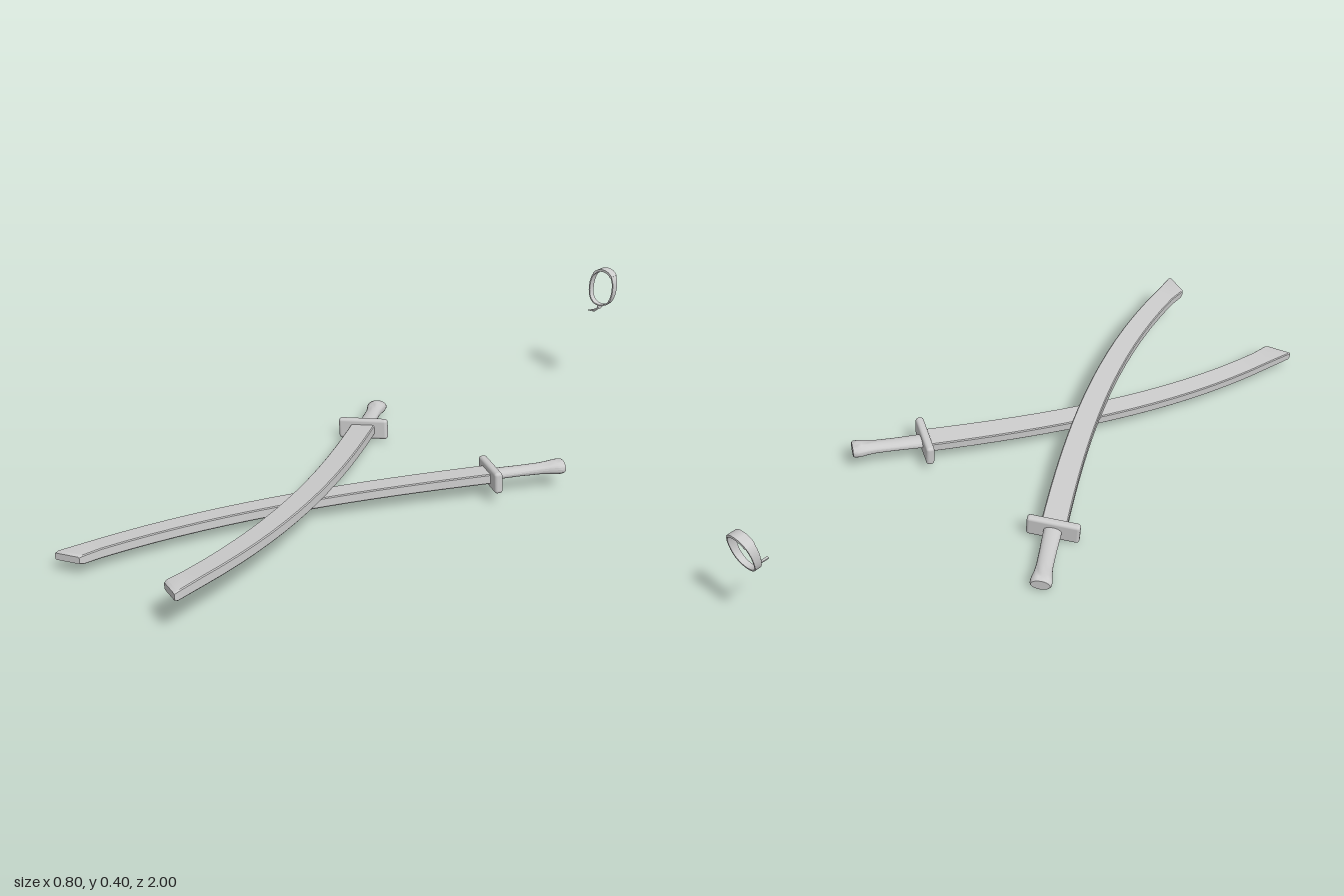
import * as THREE from 'three';
import { toCreasedNormals } from 'three/addons/utils/BufferGeometryUtils.js';
import { RoundedBoxGeometry } from 'three/addons/geometries/RoundedBoxGeometry.js';

const material = new THREE.MeshStandardMaterial({ color: 0xcccccc });

function mesh(name, geometry) {
  const m = new THREE.Mesh(geometry, material);
  m.name = name;
  return m;
}

// Skin a list of equal-sized cross-sections; ends are capped unless the loft is a closed loop
function loft(rings, crease, loop = false) {
  const n = rings[0].length;
  const count = rings.length;
  const index = [];
  for (let i = 0; i < (loop ? count : count - 1); i++) {
    for (let j = 0; j < n; j++) {
      const k = (j + 1) % n;
      const next = ((i + 1) % count) * n;
      index.push(i * n + j, i * n + k, next + j, i * n + k, next + k, next + j);
    }
  }
  if (!loop) {
    const last = (count - 1) * n;
    for (let j = 1; j < n - 1; j++) {
      index.push(0, j + 1, j, last, last + j, last + j + 1);
    }
  }
  const g = new THREE.BufferGeometry();
  g.setAttribute('position', new THREE.Float32BufferAttribute(rings.flat().flatMap((p) => p.toArray()), 3));
  g.setIndex(index);
  return toCreasedNormals(g, crease);
}

// Sword centre line: x runs from pommel to tip, y bows to the convex side, most strongly past the middle
const LENGTH = 1.4;
function bow(x) {
  const u = x / LENGTH;
  return 0.325 * u * (1 - u) * (0.7 + 0.6 * u);
}
const slope = (x) => (bow(x + 0.001) - bow(x - 0.001)) / 0.002;

// Place a flat section (side, thickness) across the centre line; slant pushes the convex side forward
function place(section, x, slant = 0) {
  const a = Math.atan(slope(x));
  return section.map(([s, t]) =>
    new THREE.Vector3(x - s * Math.sin(a) + s * slant, bow(x) + s * Math.cos(a), t));
}

function ellipse(w, t, n = 20) {
  return Array.from({ length: n }, (_, i) => {
    const a = (i / n) * Math.PI * 2;
    return [w * Math.cos(a), t * Math.sin(a)];
  });
}

// Thick blade section with slightly bevelled long edges
function bladeSection(w, t) {
  const b = w * 0.92;
  const e = t * 0.8;
  return [[w, -e], [w, e], [b, t], [-b, t], [-w, e], [-w, -e], [-b, -t], [b, -t]];
}

function createSword(name) {
  const sword = new THREE.Group();
  sword.name = name;

  // Blade with a slanted tip
  const blade = [];
  const start = 0.2;
  const shoulder = 1.33;
  for (let i = 0; i <= 16; i++) {
    const f = i / 16;
    blade.push(place(bladeSection(0.037 - 0.005 * f, 0.0145 - 0.0005 * f), start + (shoulder - start) * f));
  }
  blade.push(place(bladeSection(0.031, 0.013), 1.4, 0.62));
  blade.push(place(bladeSection(0.029, 0.0095), 1.41, 0.62));
  sword.add(mesh('blade', loft(blade, 0.6)));

  // Guard plate
  const guard = mesh('guard', new RoundedBoxGeometry(0.024, 0.152, 0.062, 3, 0.009));
  guard.position.set(0.203, bow(0.203), 0);
  guard.rotation.z = 0.1;
  sword.add(guard);

  // Oval grip flaring into a flat-ended pommel: position, half width, half thickness
  const grip = [
    [-0.010, 0.027, 0.016], [-0.006, 0.030, 0.019], [0.004, 0.0305, 0.0205], [0.016, 0.029, 0.0205],
    [0.035, 0.0255, 0.018], [0.06, 0.0235, 0.0155], [0.12, 0.024, 0.014], [0.2, 0.026, 0.0145],
  ].map(([x, w, t]) => place(ellipse(w, t), x));
  sword.add(mesh('grip', loft(grip, 0.75)));
  return sword;
}

// Stand a sword in the model by its pommel position, long direction and convex side
function poseSword(sword, pommel, along, side) {
  const ex = new THREE.Vector3(...along).normalize();
  const ez = ex.clone().cross(new THREE.Vector3(...side)).normalize();
  const ey = ez.clone().cross(ex);
  sword.quaternion.setFromRotationMatrix(new THREE.Matrix4().makeBasis(ex, ey, ez));
  sword.position.set(...pommel);
  return sword;
}

// One cross-section of the head loop, leaning forward towards its knot
function bandRing(a, inner, outer, grow = 0) {
  const s = Math.sin(a);
  const c = Math.cos(a) * (1 + 0.2 * s * s);
  const half = 0.0115 + 0.0025 * s + grow;
  const z = -0.974 - 0.01 * s;
  const at = (r, dz) =>
    new THREE.Vector3(0.02 + (0.044 + r) * c, 0.345 + (0.057 + r) * s, z + dz);
  return [at(inner, -half), at(inner, half), at(outer, half), at(outer, -half)];
}

function createHeadband() {
  const headband = new THREE.Group();
  headband.name = 'headband';

  // Cloth loop
  const loop = Array.from({ length: 24 }, (_, i) => bandRing((i / 24) * Math.PI * 2, -0.002, 0.002));
  headband.add(mesh('band', loft(loop, 0.5, true)));

  // Thicker brow plate on top
  const plate = Array.from({ length: 9 }, (_, i) =>
    bandRing(THREE.MathUtils.degToRad(46 + 11 * i), -0.004, 0.0035, 0.001));
  headband.add(mesh('browPlate', loft(plate, 0.5)));

  // Knot
  const knot = mesh('knot', new THREE.SphereGeometry(0.007, 12, 8));
  knot.scale.set(1, 0.8, 1.2);
  knot.position.set(0.021, 0.282, -0.959);
  headband.add(knot);

  // Two loose ribbon ends
  for (const [x, y, z] of [[0.016, 0.283, -0.909], [0.022, 0.278, -0.922]]) {
    const path = new THREE.QuadraticBezierCurve3(
      new THREE.Vector3(0.021, 0.281, -0.959),
      new THREE.Vector3(0.021, 0.277, -0.936),
      new THREE.Vector3(x, y, z));
    const rings = [];
    for (let i = 0; i <= 6; i++) {
      const p = path.getPoint(i / 6);
      const w = 0.002 + 0.002 * (i / 6);
      rings.push([[-w, -0.0015], [w, -0.0015], [w, 0.0015], [-w, 0.0015]].map(
        ([dx, dy]) => new THREE.Vector3(p.x + dx, p.y + dy, p.z)));
    }
    headband.add(mesh('ribbonEnd', loft(rings, 0.5)));
  }
  return headband;
}

export function createModel() {
  const model = new THREE.Group();
  model.name = 'crossedSwordsAndHeadband';
  model.add(poseSword(createSword('rightHiltSword'), [-0.374, 0.022, -0.32], [0.525, 0.092, 1.3], [0.926, 0.067, -0.378]));
  model.add(poseSword(createSword('leftHiltSword'), [0.373, 0.065, -0.28], [-0.64, -0.019, 1.25], [-0.89, -0.066, -0.456]));
  model.add(createHeadband());
  return model;
}
